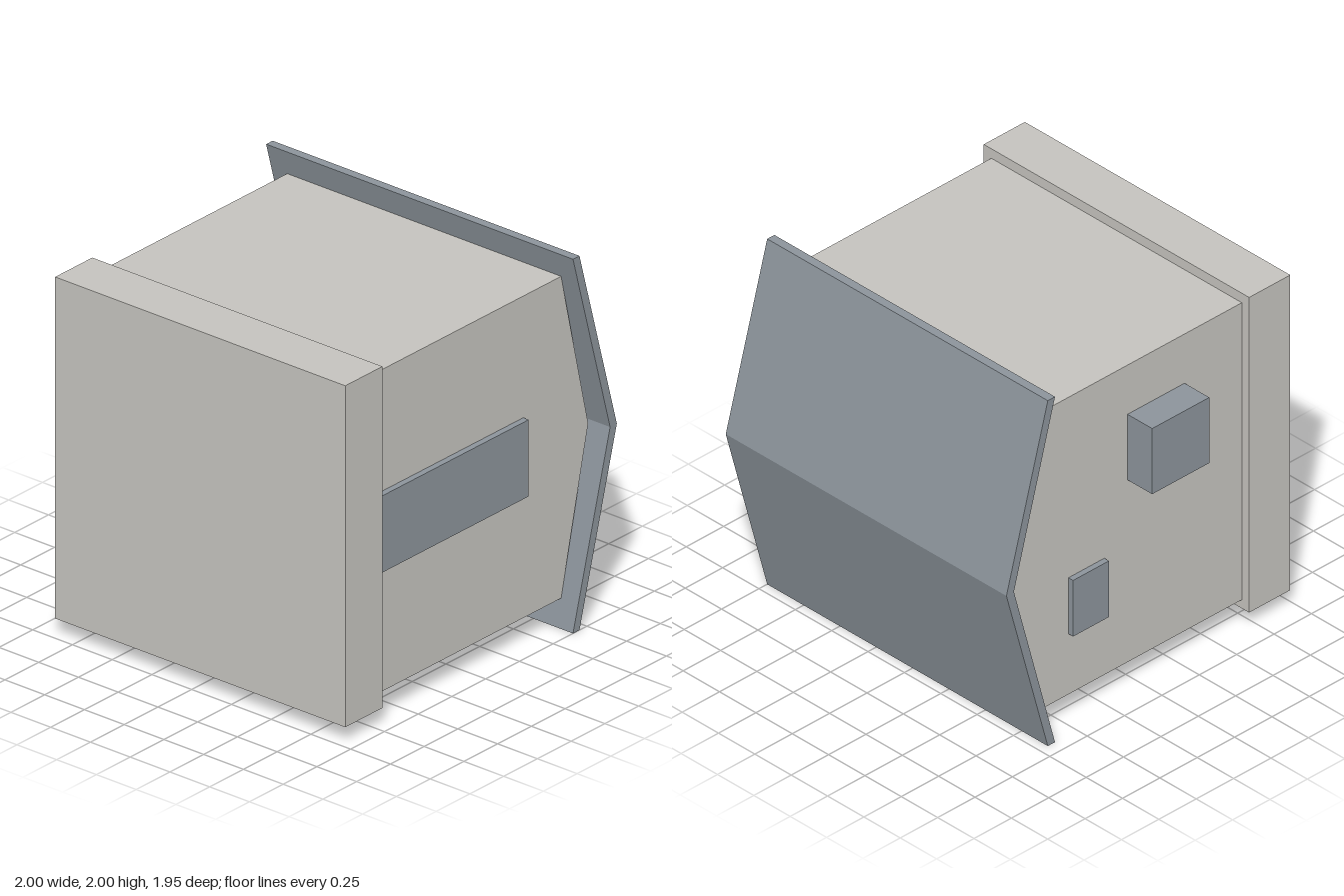
import * as THREE from 'three';

const wall = new THREE.MeshStandardMaterial({ color: 0xc4c2bd });
wall.name = 'warm grey wall';
const slate = new THREE.MeshStandardMaterial({ color: 0x8b939a });
slate.name = 'slate grey';

// Box given by its min and max on each axis
function box(name, material, [x0, x1], [y0, y1], [z0, z1]) {
  const mesh = new THREE.Mesh(new THREE.BoxGeometry(x1 - x0, y1 - y0, z1 - z0), material);
  mesh.position.set((x0 + x1) / 2, (y0 + y1) / 2, (z0 + z1) / 2);
  mesh.name = name;
  return mesh;
}

// Prism along x from a [z, y] profile
function prism(name, material, profile, [x0, x1]) {
  const shape = new THREE.Shape(profile.map(([z, y]) => new THREE.Vector2(-z, y)));
  const geometry = new THREE.ExtrudeGeometry(shape, { depth: x1 - x0, bevelEnabled: false });
  geometry.rotateY(Math.PI / 2);
  geometry.translate(x0, 0, 0);
  const mesh = new THREE.Mesh(geometry, material);
  mesh.name = name;
  return mesh;
}

export function createModel() {
  const house = new THREE.Group();
  house.name = 'house';

  // The house lies on its side wall: base slab to the front, roof ridge to the back
  house.add(box('baseSlab', wall, [-0.88, 0.945], [0.09, 1.915], [0.7, 0.975]));
  house.add(prism('gabledBody', wall,
    [[0.7, 0.14], [-0.685, 0.14], [-0.885, 1], [-0.685, 1.86], [0.7, 1.86]], [-0.83, 0.893]));

  // Two-sided roof sheet with a small gap above the gables
  house.add(prism('roof', slate,
    [[-0.647, 0], [-0.695, 0], [-0.972, 1], [-0.695, 2], [-0.647, 2], [-0.922, 1]], [-0.93, 1]));

  // Door on the left gable wall; window and projecting box on the right one
  house.add(box('door', slate, [0.893, 0.927], [0.8, 1.21], [-0.405, 0.7]));
  house.add(box('window', slate, [-0.862, -0.83], [0.49, 0.815], [-0.46, -0.22]));
  house.add(box('wallBox', slate, [-1, -0.83], [1.195, 1.575], [-0.065, 0.317]));

  return house;
}
